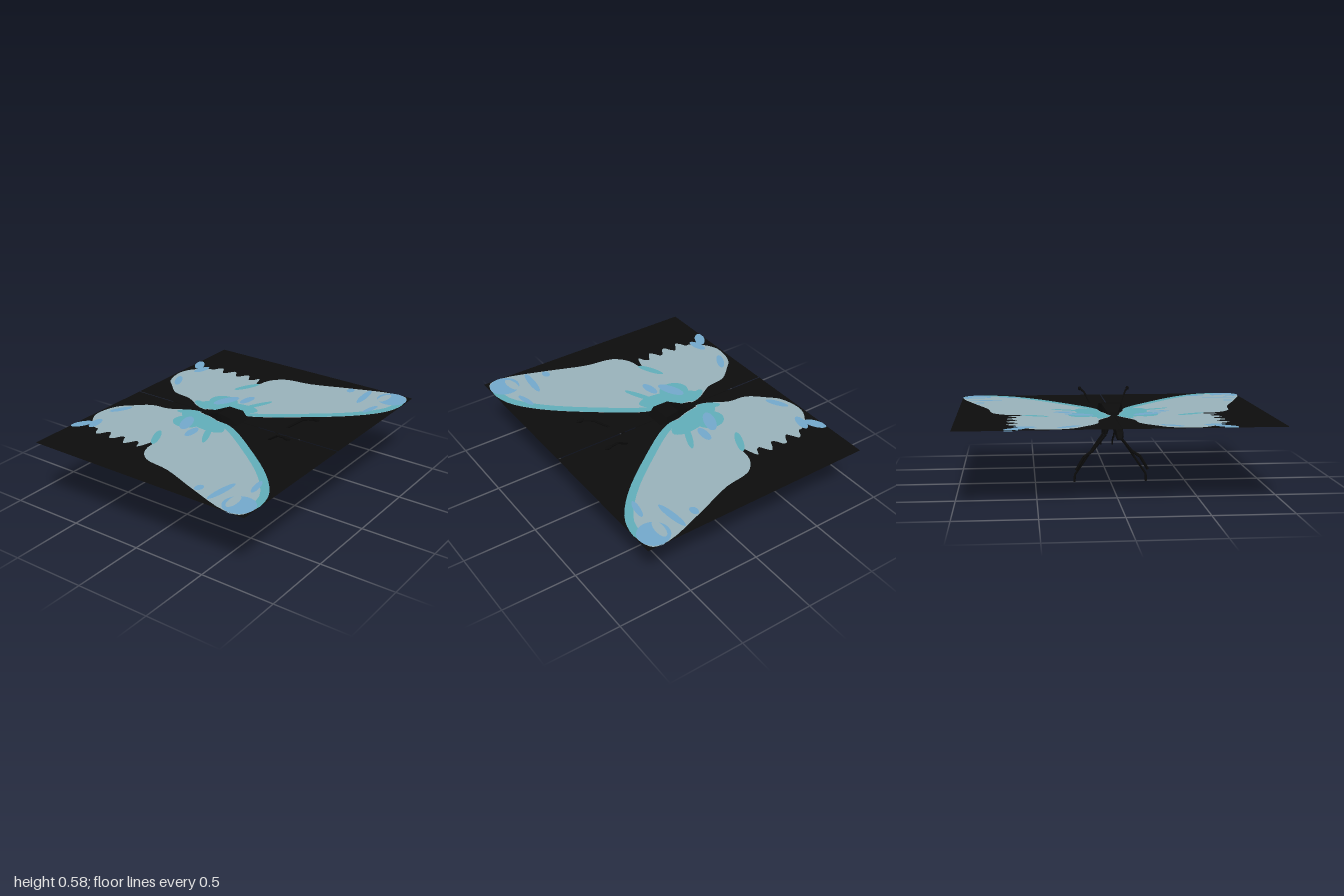
import * as THREE from 'three';

const WING_Y = 0.481;
const LAYER = 0.001;

const makeMaterial = (name, color, options) => {
  const m = new THREE.MeshStandardMaterial({ color, ...options });
  m.name = name;
  return m;
};

// Leading edge of the forewing from root to tip, then the rest of its outline, as x, z
const leadingEdge = [[0.08, -0.03], [0.11, 0.08], [0.28, 0.33], [0.53, 0.63], [0.72, 0.77], [0.88, 0.795]];
const foreWing = [...leadingEdge, [0.985, 0.76], [0.997, 0.66], [0.905, 0.37], [0.805, 0.1],
  [0.77, -0.09], [0.68, -0.175], [0.5, -0.2], [0.05, -0.27]];

// The teal band follows the leading edge and a copy of it moved inwards
const band = [...leadingEdge, ...leadingEdge.map(([x, z]) => [x + 0.035, z - 0.04]).reverse()];

// The hind wing has a scalloped outer margin
const scallops = Array.from({ length: 17 }, (_, i) => {
  const z = -0.65 + i * 0.025;
  return [0.648 + 0.036 * Math.cos(2 * Math.PI * (z + 0.58) / 0.115), z];
});
const hindWing = [[0.03, -0.3], [0.11, -0.45], [0.13, -0.58], [0.22, -0.69], [0.29, -0.755], [0.46, -0.785],
  [0.58, -0.71], ...scallops, [0.52, -0.195], [0.3, -0.1], [0.03, -0.22]];

// Oval markings: x, z, half length, half breadth, turn
const tealMarks = [[0.14, -0.14, 0.21, 0.08, 1.28], [0.07, -0.31, 0.08, 0.03, -1.1], [0.28, 0, 0.12, 0.022, 0.45],
  [0.2, -0.22, 0.09, 0.1, 0], [0.5, -0.235, 0.1, 0.025, 0.45]];
const blueMarks = [[0.22, -0.21, 0.1, 0.04, 0.4], [0.31, -0.1, 0.07, 0.03, 0.1], [0.9, 0.695, 0.1, 0.1, 0],
  [0.83, 0.52, 0.12, 0.024, -0.1], [0.67, 0.655, 0.075, 0.02, 0.2], [0.87, 0.39, 0.035, 0.025, 0],
  [0.63, -0.755, 0.075, 0.035, -0.5], [0.57, -0.69, 0.07, 0.03, 0.2], [0.31, -0.7, 0.08, 0.025, -0.5]];
const tipSpot = [0.885, 0.645, 0.075, 0.03, 0.1];

const oval = ([x, z, a, b, turn]) => Array.from({ length: 12 }, (_, i) => {
  const t = i / 12 * Math.PI * 2;
  const u = a * Math.cos(t), v = b * Math.sin(t);
  return [x + u * Math.cos(turn) - v * Math.sin(turn), z + u * Math.sin(turn) + v * Math.cos(turn)];
});

// Flat smooth-edged panel lying in the wing plane
function panel(points, side) {
  const curve = new THREE.CatmullRomCurve3(points.map(([x, z]) => new THREE.Vector3(side * x, z, 0)), true, 'centripetal');
  const outline = Array.from({ length: points.length * 4 }, (_, i) => {
    const p = curve.getPoint(i / (points.length * 4));
    return new THREE.Vector2(THREE.MathUtils.clamp(p.x, -1, 1), THREE.MathUtils.clamp(p.y, -0.8, 0.8));
  });
  return new THREE.ShapeGeometry(new THREE.Shape(outline)).rotateX(Math.PI / 2);
}

// Body stations from head to tail: z, top, bottom, half width
const bodyStations = [[0.228, 0.395, 0.365, 0.035], [0.21, 0.425, 0.345, 0.052], [0.16, 0.465, 0.338, 0.065],
  [0.1, 0.46, 0.38, 0.06], [0.075, 0.485, 0.39, 0.082], [0.03, 0.525, 0.4, 0.094], [-0.07, 0.533, 0.395, 0.08],
  [-0.17, 0.492, 0.417, 0.046], [-0.28, 0.476, 0.424, 0.035], [-0.47, 0.477, 0.426, 0.035],
  [-0.64, 0.438, 0.388, 0.024], [-0.67, 0.402, 0.395, 0.012]];

// Six-sided loft through the stations, closed at both ends
function loft(stations) {
  const pos = [], index = [], n = 6;
  for (const [z, t, b, w] of stations) {
    const m = b + (t - b) * 0.4;
    for (const [x, y] of [[0.8, t], [-0.8, t], [-1, m], [-0.65, b], [0.65, b], [1, m]]) pos.push(x * w, y, z);
  }
  const last = (stations.length - 1) * n;
  for (let s = 0; s < last; s += n) {
    for (let i = 0; i < n; i++) {
      const a = s + i, b = s + (i + 1) % n;
      index.push(a, a + n, b, b, a + n, b + n);
    }
  }
  for (let i = 1; i < n - 1; i++) index.push(0, i, i + 1, last, last + i + 1, last + i);
  const g = new THREE.BufferGeometry();
  g.setAttribute('position', new THREE.Float32BufferAttribute(pos, 3));
  g.setIndex(index);
  g.computeVertexNormals();
  return g;
}

// Joints of each limb as x, y, z, with its root and shaft radius
const limbs = {
  antenna: { root: 0.007, shaft: 0.007, joints: [[0.05, 0.375, 0.215], [0.145, 0.547, 0.45], [0.17, 0.562, 0.53]] },
  frontLeg: { root: 0.022, shaft: 0.006, joints: [[0.03, 0.42, 0.045], [0.04, 0.37, 0.06], [0.04, 0.328, 0.13],
    [0.04, 0.268, 0.17], [0.04, 0.262, 0.225], [0.04, 0.225, 0.275], [0.04, 0.2, 0.283]] },
  middleLeg: { root: 0.03, shaft: 0.008, joints: [[0.035, 0.42, -0.02], [0.045, 0.335, -0.02], [0.237, 0.05, -0.012],
    [0.24, 0, -0.01]] },
  hindLeg: { root: 0.027, shaft: 0.01, joints: [[0.025, 0.43, -0.105], [0.04, 0.335, -0.108], [0.13, 0.225, -0.112],
    [0.185, 0.19, -0.133], [0.235, 0.105, -0.137]] },
};

// Jointed limb whose first segment tapers from the root to the shaft
function limb(name, { root, shaft, joints }, side, material) {
  const group = new THREE.Group();
  group.name = name;
  const points = joints.map(([x, y, z]) => new THREE.Vector3(side * x, y, z));
  points.slice(1).forEach((end, i) => {
    const dir = end.clone().sub(points[i]);
    const mesh = new THREE.Mesh(new THREE.CylinderGeometry(shaft, i ? shaft : root, dir.length(), 6), material);
    mesh.position.copy(points[i]).add(end).multiplyScalar(0.5);
    mesh.quaternion.setFromUnitVectors(new THREE.Vector3(0, 1, 0), dir.normalize());
    mesh.name = name + 'Segment';
    group.add(mesh);
  });
  return group;
}

export function createModel() {
  const model = new THREE.Group();
  model.name = 'butterfly';
  const doubleSided = { side: THREE.DoubleSide };
  const bodyBlack = makeMaterial('bodyBlack', 0x0b0b0b, { flatShading: true });
  const wingBlack = makeMaterial('wingBlack', 0x0d0d0d, doubleSided);
  const pale = makeMaterial('paleBlueGrey', 0x9ab4bc, doubleSided);
  const teal = makeMaterial('teal', 0x62afbb, doubleSided);
  const blue = makeMaterial('skyBlue', 0x74aacd, doubleSided);

  const add = (parent, name, geometry, material, y = 0) => {
    const mesh = new THREE.Mesh(geometry, material);
    mesh.name = name;
    mesh.position.y = y;
    parent.add(mesh);
    return mesh;
  };

  add(model, 'body', loft(bodyStations), bodyBlack);

  for (const side of [1, -1]) {
    // Rectangular wing sheet, painted on both faces
    const wing = new THREE.Group();
    wing.name = side > 0 ? 'leftWing' : 'rightWing';
    model.add(wing);
    const sheet = new THREE.PlaneGeometry(0.996, 1.6).rotateX(-Math.PI / 2).translate(side * 0.502, 0, 0);
    add(wing, 'wingSheet', sheet, wingBlack, WING_Y);
    const paint = (name, points, material, layer) => {
      const geometry = panel(points, side);
      for (const face of [1, -1]) add(wing, name, geometry, material, WING_Y + face * layer * LAYER);
    };
    paint('hindWing', hindWing, pale, 1);
    paint('foreWing', foreWing, pale, 1);
    blueMarks.forEach(mark => paint('blueMark', oval(mark), blue, 3));
    tealMarks.forEach(mark => paint('tealMark', oval(mark), teal, 2));
    paint('leadingEdgeBand', band, teal, 2);
    paint('tipSpot', oval(tipSpot), pale, 4);

    // Legs and antennae, each antenna ending in a club
    for (const [name, spec] of Object.entries(limbs)) model.add(limb(name, spec, side, bodyBlack));
    const club = add(model, 'antennaClub', new THREE.SphereGeometry(1, 8, 6), bodyBlack);
    club.scale.set(0.012, 0.014, 0.03);
    club.position.set(side * 0.17, 0.562, 0.53);
  }
  return model;
}
